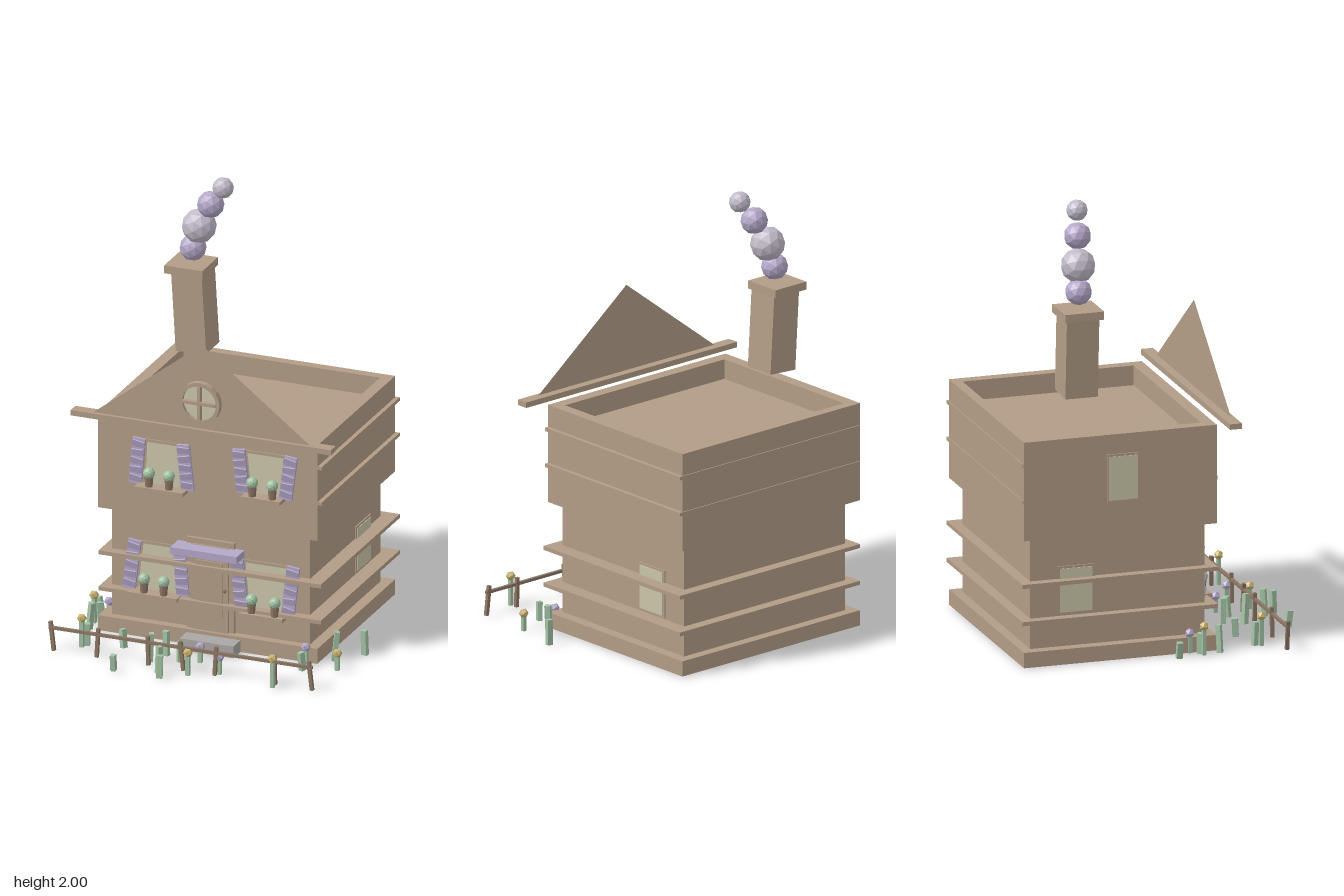
import * as THREE from 'three';

const mat = (name, color, side = THREE.FrontSide) => {
  const m = new THREE.MeshStandardMaterial({ color, side, flatShading: true });
  m.name = name;
  return m;
};

export function createModel() {
  const root = new THREE.Group();
  root.name = 'cottage';
  const wall = mat('wall tan', 0xb29c86, THREE.DoubleSide);
  const glass = mat('window cream', 0xcac5a9);
  const lilac = mat('shutter lilac', 0xb4a7c8);
  const smokeGrey = mat('smoke grey', 0xc1bac8);
  const leaf = mat('leaf green', 0xa2c2a4);
  const wood = mat('dark wood', 0x8d7664);
  const yellow = mat('flower yellow', 0xc8b271);
  const stone = mat('step grey', 0xaaa7a5);

  const add = (name, geo, m, x, y, z, parent = root) => {
    const mesh = new THREE.Mesh(geo, m);
    mesh.name = name;
    mesh.position.set(x, y, z);
    parent.add(mesh);
    return mesh;
  };
  // Box given by its limits on each axis
  const box = (name, m, x0, x1, y0, y1, z0, z1, parent = root) =>
    add(name, new THREE.BoxGeometry(x1 - x0, y1 - y0, z1 - z0), m,
      (x0 + x1) / 2, (y0 + y1) / 2, (z0 + z1) / 2, parent);
  const ball = (name, m, r, x, y, z, detail, parent = root) =>
    add(name, new THREE.IcosahedronGeometry(r, detail), m, x, y, z, parent);

  // Storeys
  box('plinth', wall, -0.55, 0.49, 0, 0.07, -0.665, 0.225);
  box('lowerStorey', wall, -0.5, 0.44, 0.07, 0.58, -0.62, 0.185);
  const plan = new THREE.Shape([[-0.55, -0.225], [0.49, -0.225], [0.49, 0.665], [-0.55, 0.665]]
    .map(p => new THREE.Vector2(...p)));
  plan.holes.push(new THREE.Path([[-0.495, -0.17], [-0.495, 0.62], [0.437, 0.62], [0.437, -0.17]]
    .map(p => new THREE.Vector2(...p))));
  const parapet = new THREE.ExtrudeGeometry(plan, { depth: 0.45, bevelEnabled: false });
  add('upperStorey', parapet.rotateX(-Math.PI / 2), wall, 0, 0.58, 0);
  box('roofDeck', wall, -0.5, 0.442, 0.58, 0.94, -0.625, 0.175);

  // Trim bands around the house
  for (const y of [0.2, 0.37]) box('lowerBand', wall, -0.545, 0.51, y - 0.009, y + 0.009, -0.67, 0.232);
  for (const y of [0.755, 0.922]) box('upperBand', wall, -0.545, 0.51, y - 0.008, y + 0.008, -0.67, 0.22);

  // Free-standing front gable and its eave board
  box('eaveBoard', wall, -0.645, 0.59, 1.03, 1.055, 0.255, 0.31);
  const tri = new THREE.Shape([[-0.55, 1.05], [0.49, 1.05], [-0.03, 1.45]].map(p => new THREE.Vector2(...p)));
  add('gable', new THREE.ShapeGeometry(tri), wall, 0, 0, 0.293);

  // Round gable window
  const round = new THREE.Group();
  round.name = 'roundWindow';
  round.position.set(-0.03, 1.185, 0.296);
  root.add(round);
  const rim = new THREE.Shape().absarc(0, 0, 0.097, 0, Math.PI * 2);
  rim.holes.push(new THREE.Path().absarc(0, 0, 0.08, 0, Math.PI * 2, true));
  add('rim', new THREE.ExtrudeGeometry(rim, { depth: 0.028, bevelEnabled: false, curveSegments: 10 }), wall, 0, 0, 0, round);
  add('roundPane', new THREE.CircleGeometry(0.081, 20), glass, 0, 0, 0.012, round);
  box('crossBar', wall, -0.08, 0.08, -0.007, 0.007, 0.01, 0.034, round);
  box('uprightBar', wall, -0.007, 0.007, -0.08, 0.08, 0.01, 0.034, round);

  // Leaning chimney with cap and smoke
  const shaft = add('chimneyShaft', new THREE.BoxGeometry(0.145, 0.37, 0.15), wall, -0.326, 1.348, -0.345);
  shaft.rotation.z = 0.06;
  box('chimneyCap', wall, -0.437, -0.256, 1.523, 1.56, -0.437, -0.257);
  [[-0.335, 1.63, -0.342, 0.06, lilac], [-0.302, 1.74, -0.333, 0.078, smokeGrey],
    [-0.24, 1.857, -0.315, 0.061, lilac], [-0.173, 1.953, -0.295, 0.048, smokeGrey]]
    .forEach(([x, y, z, r, m]) => ball('smokePuff', m, r, x, y, z, 1));

  // Slatted shutter, leaning from its top x to its bottom x
  function shutter(xTop, xBottom, y, h, z) {
    const g = new THREE.Group();
    g.name = 'shutter';
    g.position.set((xTop + xBottom) / 2, y, z);
    g.rotation.z = Math.atan2(xBottom - xTop, h);
    root.add(g);
    box('shutterPanel', lilac, -0.03, 0.03, -h / 2, h / 2, 0, 0.014, g);
    for (let i = 0; i < 5; i++) {
      const slat = box('slat', lilac, -0.028, 0.028, -0.016, 0.016, 0.008, 0.018, g);
      slat.position.y = (i - 2) * h * 0.19;
      slat.rotation.set(0.25, 0, i % 2 ? 0.12 : -0.12);
    }
  }

  // Front windows: pane corners, y range, wall z, shutter tops and bottoms, plant x positions
  const windows = [
    { top: [-0.325, -0.155], bot: [-0.335, -0.135], y: [0.735, 0.94], z: 0.225, s: [-0.347, -0.366, -0.14, -0.116], plants: [-0.29, -0.195] },
    { top: [0.15, 0.345], bot: [0.17, 0.325], y: [0.765, 0.96], z: 0.225, s: [0.124, 0.146, 0.373, 0.347], plants: [0.2, 0.295] },
    { top: [-0.36, -0.195], bot: [-0.385, -0.18], y: [0.215, 0.44], z: 0.185, s: [-0.384, -0.413, -0.172, -0.156], plants: [-0.33, -0.237] },
    { top: [0.125, 0.345], bot: [0.145, 0.32], y: [0.195, 0.425], z: 0.185, s: [0.1, 0.122, 0.368, 0.341], plants: [0.18, 0.29] },
  ];
  for (const { top, bot, y: [y0, y1], z, s, plants } of windows) {
    const quad = d => new THREE.Shape([[bot[0] + d, y0], [bot[1] - d, y0], [top[1] - d, y1 - d], [top[0] + d, y1 - d]]
      .map(p => new THREE.Vector2(...p)));
    add('windowFrame', new THREE.ExtrudeGeometry(quad(0), { depth: 0.006, bevelEnabled: false }), wall, 0, 0, z);
    add('pane', new THREE.ShapeGeometry(quad(0.012)), glass, 0, 0, z + 0.008);
    const mid = (y0 + y1) / 2;
    shutter(s[0], s[1], mid, y1 - y0 + 0.01, z + 0.01);
    shutter(s[2], s[3], mid, y1 - y0 + 0.01, z + 0.01);
    box('sill', wall, bot[0] - 0.015, bot[1] + 0.015, y0 - 0.018, y0, z, z + 0.07);
    for (const x of plants) {
      add('flowerPot', new THREE.CylinderGeometry(0.021, 0.017, 0.045, 8), wood, x, y0 + 0.022, z + 0.045);
      ball('potPlant', leaf, 0.027, x, y0 + 0.062, z + 0.045, 1);
    }
  }

  // Side windows on the -x and +x walls
  function sideWindow(side, x, z, y0, y1, w) {
    box('sideFrame', wall, x - 0.006, x + 0.006, y0, y1, z - w / 2, z + w / 2);
    const px = x + side * 0.007;
    box('sidePane', glass, px - 0.002, px + 0.002, y0 + 0.01, y1 - 0.01, z - w / 2 + 0.01, z + w / 2 - 0.01);
  }
  sideWindow(1, 0.44, -0.41, 0.215, 0.435, 0.17);
  sideWindow(-1, -0.5, -0.41, 0.215, 0.435, 0.17);
  sideWindow(-1, -0.55, -0.207, 0.72, 0.94, 0.15);

  // Door, canopy and step
  box('doorFrame', wall, -0.14, 0.085, 0.07, 0.495, 0.185, 0.2);
  box('door', wall, -0.115, 0.06, 0.07, 0.47, 0.2, 0.21);
  box('doorPanel', wall, -0.09, 0.035, 0.14, 0.4, 0.21, 0.216);
  ball('doorKnob', wood, 0.01, 0.045, 0.27, 0.215, 0);
  box('canopy', lilac, -0.185, 0.13, 0.435, 0.468, 0.19, 0.28);
  box('frontStep', stone, -0.13, 0.125, 0, 0.055, 0.22, 0.305);

  // Garden fence
  box('fenceRail', wood, -0.66, 0.59, 0.1, 0.113, 0.513, 0.527);
  [-0.645, -0.43, -0.19, -0.03, 0.13, 0.41, 0.58].forEach((x, i) => {
    const post = box('fencePost', wood, x - 0.008, x + 0.008, 0, 0.135, 0.512, 0.528);
    post.rotation.z = [0.12, -0.06, 0.03][i % 3];
  });

  // Grass tufts
  [[-0.62, 0.03], [-0.585, 0.225], [-0.525, 0.41], [-0.37, 0.37], [-0.195, 0.475], [-0.16, 0.385],
    [-0.075, 0.43], [-0.305, 0.64], [-0.11, 0.59], [-0.085, 0.64], [0.455, 0.32], [0.548, 0.155],
    [0.64, 0.045], [-0.575, 0.14]].forEach(([x, z], i) => {
    const h = 0.075 + 0.06 * ((i * 5) % 7) / 6;
    const blade = add('grassBlade', new THREE.BoxGeometry(0.022, h, 0.026), leaf, x, h / 2, z);
    blade.rotation.set(0.12 * Math.sin(i * 2), i * 0.9, 0.22 * Math.sin(i * 3 + 1));
  });

  // Flowers on stems
  [[-0.6, 0.13, 0.15, yellow], [-0.54, 0.135, 0.435, yellow], [0.017, 0.105, 0.565, yellow],
    [0.415, 0.135, 0.555, yellow], [0.6, 0.08, 0.26, yellow], [0.01, 0.075, 0.405, lilac],
    [0.14, 0.08, 0.5, lilac], [0.44, 0.075, 0.235, lilac], [-0.55, 0.09, 0.1, lilac]]
    .forEach(([x, y, z, m]) => {
      box('flowerStem', leaf, x - 0.009, x + 0.009, 0, y, z - 0.009, z + 0.009);
      ball('blossom', m, 0.022, x, y, z, 0);
    });

  return root;
}
